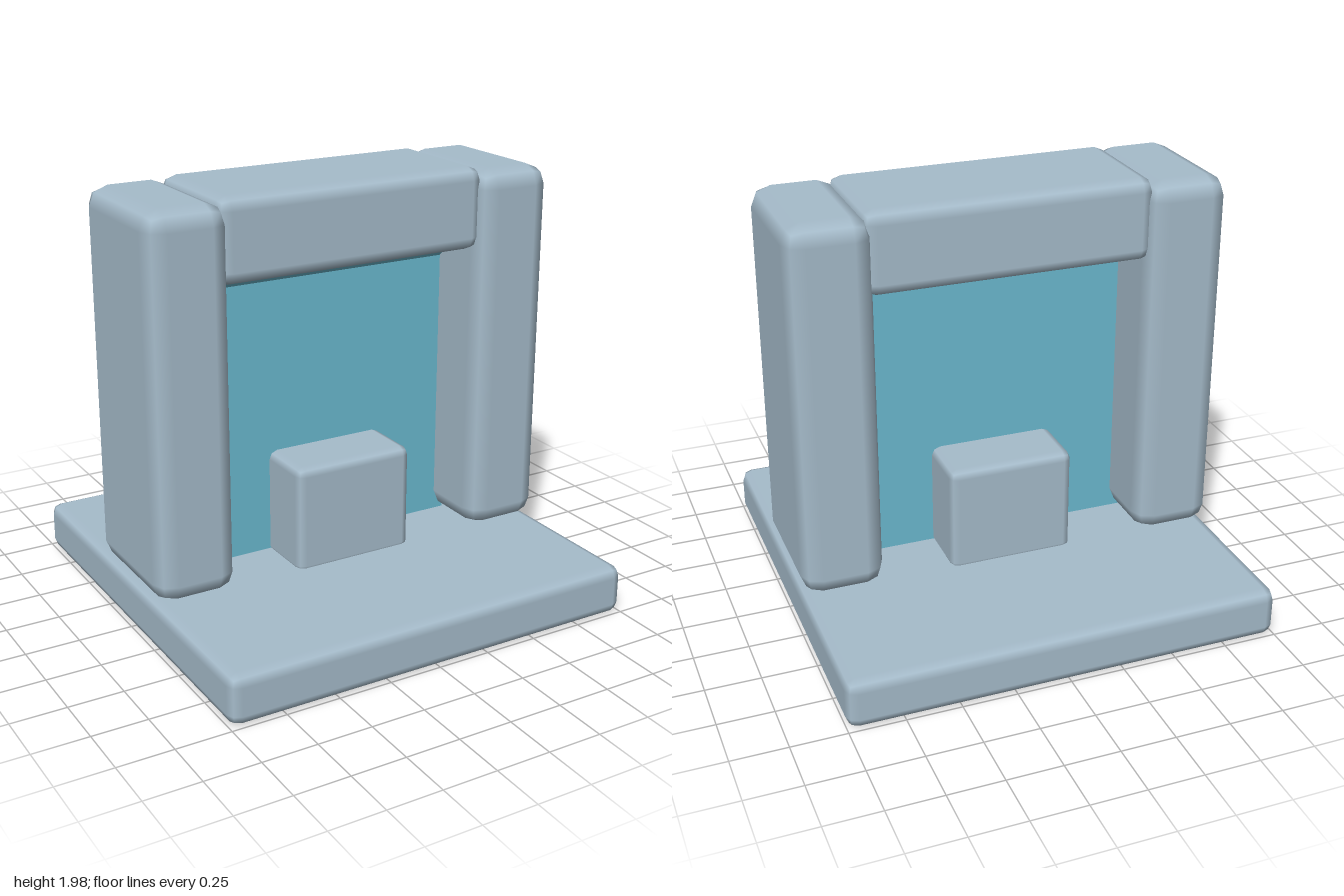
import * as THREE from 'three';
import { RoundedBoxGeometry } from 'three/addons/geometries/RoundedBoxGeometry.js';

export function createModel() {
  const model = new THREE.Group();
  const stone = new THREE.MeshStandardMaterial({ color: 0xa6bccb });
  stone.name = 'blue grey stone';
  const teal = new THREE.MeshStandardMaterial({ color: 0x6bbad0 });
  teal.name = 'teal panel';

  // Softly bevelled block spanning two opposite corners
  function block(name, [x0, y0, z0], [x1, y1, z1], radius) {
    const geometry = new RoundedBoxGeometry(x1 - x0, y1 - y0, z1 - z0, 1, radius);
    const mesh = new THREE.Mesh(geometry, stone);
    mesh.name = name;
    mesh.position.set((x0 + x1) / 2, (y0 + y1) / 2, (z0 + z1) / 2);
    model.add(mesh);
  }

  block('base', [-1, 0, -1], [1, 0.23, 1], 0.05);
  block('leftPillar', [0.62, 0.235, -0.345], [1, 1.965, 0.345], 0.088);
  block('rightPillar', [-1, 0.235, -0.345], [-0.62, 1.965, 0.345], 0.088);
  block('lintel', [-0.66, 1.6, -0.3], [0.66, 1.98, 0.3], 0.06);
  block('centreBlock', [-0.295, 0.2, -0.295], [0.295, 0.715, 0.295], 0.04);

  // Thin panel between the pillars, stepping out near the top
  const half = [[0.02, 0.2], [0.02, 1.52], [0.05, 1.55], [0.05, 1.65]];
  const outline = [...half, ...half.map(([z, y]) => [-z, y]).reverse()];
  const shape = new THREE.Shape(outline.map(([z, y]) => new THREE.Vector2(z, y)));
  const geometry = new THREE.ExtrudeGeometry(shape, { depth: 1.34, bevelEnabled: false });
  geometry.translate(0, 0, -0.67);
  geometry.rotateY(Math.PI / 2);
  const panel = new THREE.Mesh(geometry, teal);
  panel.name = 'panel';
  model.add(panel);

  return model;
}
